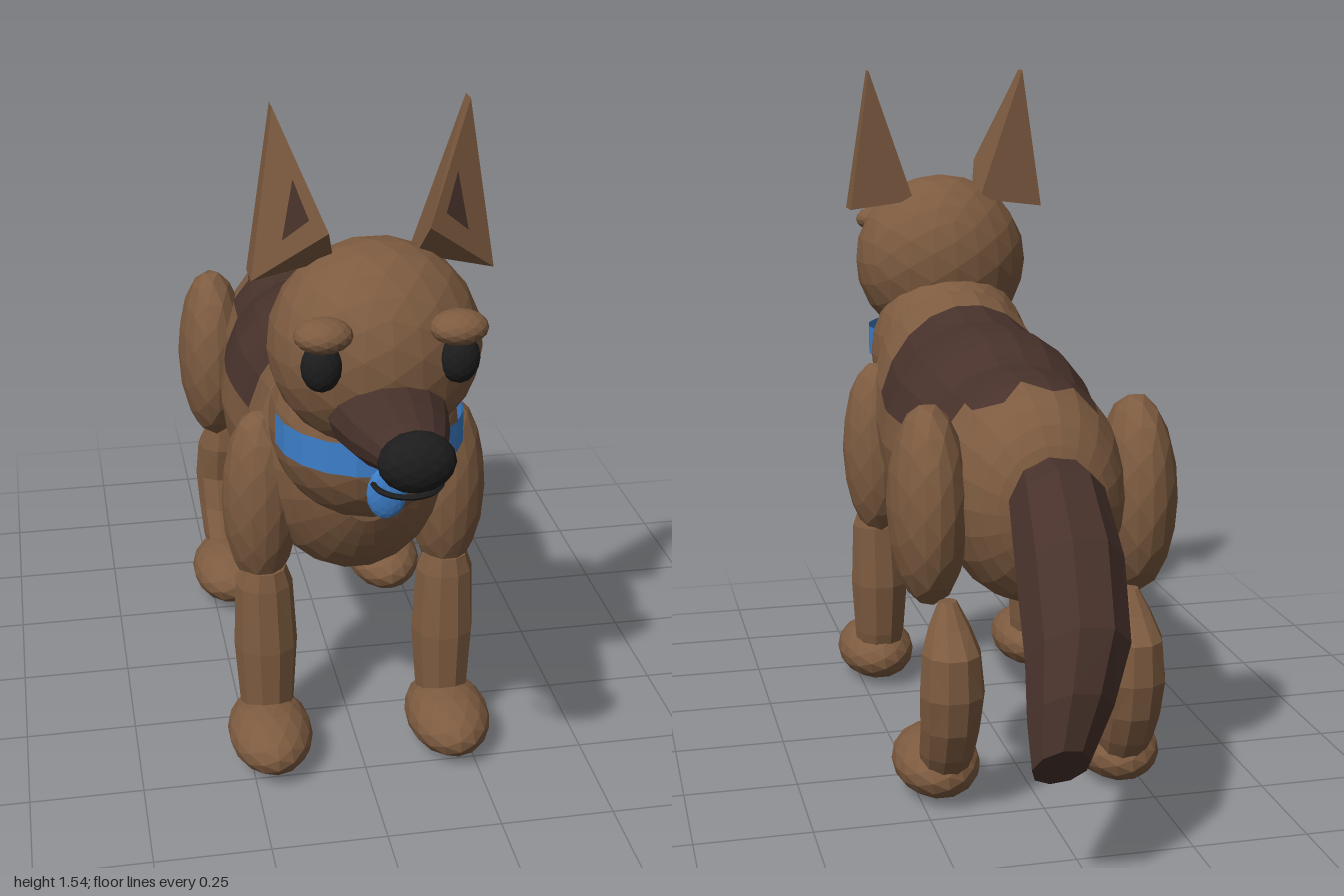
import * as THREE from 'three';
import { ConvexGeometry } from 'three/addons/geometries/ConvexGeometry.js';

function makeMaterial(name, color) {
  const m = new THREE.MeshStandardMaterial({ color, flatShading: true });
  m.name = name;
  return m;
}

// Closed loft through rings [x, y, z, radiusX, radiusN]; N = (0, cos a, sin a).
// isSecond(centroid) puts a triangle in the second material group.
function loft(rings, segs, a, isSecond = () => false) {
  const N = new THREE.Vector3(0, Math.cos(a), Math.sin(a));
  const pt = (i, j) => {
    const [x, y, z, rx, rn] = rings[i];
    const t = (j / segs) * Math.PI * 2;
    return new THREE.Vector3(x + rx * Math.cos(t), y, z).addScaledVector(N, rn * Math.sin(t));
  };
  const groups = [[], []];
  const tri = (p, q, r) => {
    const c = p.clone().add(q).add(r).divideScalar(3);
    const list = groups[isSecond(c) ? 1 : 0];
    for (const v of [p, q, r]) list.push(v.x, v.y, v.z);
  };
  const last = rings.length - 1;
  const first = new THREE.Vector3(...rings[0].slice(0, 3));
  const end = new THREE.Vector3(...rings[last].slice(0, 3));
  for (let j = 0; j < segs; j++) {
    for (let i = 0; i < last; i++) {
      const p = pt(i, j), q = pt(i, j + 1), r = pt(i + 1, j + 1), s = pt(i + 1, j);
      if ((i + j) % 2) { tri(p, q, r); tri(p, r, s); } else { tri(p, q, s); tri(q, r, s); }
    }
    tri(first, pt(0, j + 1), pt(0, j));
    tri(end, pt(last, j), pt(last, j + 1));
  }
  const g = new THREE.BufferGeometry();
  g.setAttribute('position', new THREE.Float32BufferAttribute(groups[0].concat(groups[1]), 3));
  g.addGroup(0, groups[0].length / 3, 0);
  if (groups[1].length) g.addGroup(groups[0].length / 3, groups[1].length / 3, 1);
  g.computeVertexNormals();
  return g;
}

export function createModel() {
  const dog = new THREE.Group();
  dog.name = 'dog';
  const tan = makeMaterial('tan fur', 0x7d5b40);
  const dark = makeMaterial('dark fur', 0x48322b);
  const black = makeMaterial('black', 0x1d1d1e);
  const blue = makeMaterial('blue collar', 0x3d7fca);
  blue.side = dark.side = THREE.DoubleSide;

  const add = (name, geo, mat) => {
    const m = new THREE.Mesh(geo, mat);
    m.name = name;
    dog.add(m);
    return m;
  };
  const blob = (name, mat, pos, rad, detail = 2, tilt = 0) => {
    const m = add(name, new THREE.IcosahedronGeometry(1, detail), mat);
    m.position.set(...pos);
    m.scale.set(...rad);
    m.rotation.x = tilt;
    return m;
  };

  // Torso profile, rump to chest: [z, top, bottom, half width]
  const profile = [
    [-0.595, 0.72, 0.63, 0.04], [-0.56, 0.82, 0.54, 0.12], [-0.5, 0.89, 0.47, 0.17],
    [-0.4, 0.925, 0.44, 0.205], [-0.3, 0.93, 0.46, 0.215], [-0.22, 0.925, 0.49, 0.218],
    [-0.12, 0.96, 0.45, 0.237], [0, 0.975, 0.435, 0.25], [0.1, 0.97, 0.43, 0.24],
    [0.22, 0.99, 0.42, 0.225], [0.35, 1.02, 0.44, 0.22], [0.42, 0.98, 0.48, 0.185],
    [0.48, 0.9, 0.56, 0.13], [0.52, 0.78, 0.64, 0.06],
  ];
  const curveA = new THREE.CatmullRomCurve3(profile.map(([z, t, b]) => new THREE.Vector3(t, b, z)));
  const curveB = new THREE.CatmullRomCurve3(profile.map(([z, , , w]) => new THREE.Vector3(w, 0, z)));
  const rings = [];
  for (let i = 0; i <= 26; i++) {
    const p = curveA.getPoint(i / 26), w = curveB.getPoint(i / 26).x;
    rings.push([0, (p.x + p.y) / 2, p.z, w, (p.x - p.y) / 2]);
  }
  // Dark saddle across the back
  const saddle = (c) => {
    const floor = c.z < -0.34 ? 0.87 : c.z < -0.2 ? 0.82 : 0.78;
    return c.z > -0.42 && c.z < 0.2 && c.y > floor;
  };
  add('torso', loft(rings, 22, 0, saddle), [tan, dark]);
  blob('neck', tan, [0, 0.84, 0.43], [0.2, 0.205, 0.225], 3);

  // Tail, tip to root
  add('tail', loft([
    [0.085, 0.285, -0.93, 0.058, 0.07], [0.06, 0.37, -0.9, 0.085, 0.1],
    [0.03, 0.47, -0.845, 0.105, 0.115], [0.01, 0.6, -0.715, 0.11, 0.125],
    [0, 0.71, -0.58, 0.1, 0.11], [0, 0.74, -0.5, 0.08, 0.08],
  ], 9, -0.72), dark);

  // Head
  blob('head', tan, [0, 1.062, 0.545], [0.218, 0.215, 0.2], 3);
  add('muzzle', loft([
    [0, 0.97, 0.6, 0.12, 0.085], [0, 0.965, 0.7, 0.118, 0.085], [0, 0.972, 0.8, 0.098, 0.073],
    [0, 0.982, 0.88, 0.075, 0.055], [0, 0.985, 0.94, 0.055, 0.04],
  ], 14, 0), dark);
  blob('nose', black, [0, 0.99, 0.95], [0.074, 0.06, 0.048]);
  const mouth = add('mouth', new THREE.TorusGeometry(0.065, 0.006, 5, 14, Math.PI), black);
  mouth.rotation.x = Math.PI / 2;
  mouth.position.set(0, 0.91, 0.87);

  // Collar and tag
  const collar = add('collar', new THREE.CylinderGeometry(0.196, 0.196, 0.07, 20, 1, true), blue);
  collar.position.set(0, 0.865, 0.495);
  blob('collarTag', blue, [0, 0.795, 0.69], [0.042, 0.058, 0.018]);

  for (const s of [1, -1]) {
    const side = s > 0 ? 'left' : 'right';

    // Face details
    blob(side + 'Eye', black, [s * 0.135, 1.085, 0.708], [0.041, 0.052, 0.033]);
    blob(side + 'Brow', tan, [s * 0.132, 1.15, 0.71], [0.058, 0.034, 0.05]);

    // Pointed ear with a dark inner patch
    const v = (x, y, z) => new THREE.Vector3(s * x, y, z);
    const tip = v(0.195, 1.54, 0.5), outer = v(0.245, 1.2, 0.53), inner = v(0.1, 1.31, 0.59);
    add(side + 'Ear', new ConvexGeometry([
      tip, outer, inner, v(0.195, 1.54, 0.46), v(0.245, 1.2, 0.46),
      v(0.085, 1.22, 0.46), v(0.083, 1.24, 0.54),
    ]), tan);
    const patch = [[0.48, 0.12, 0.4], [0.14, 0.5, 0.36], [0.16, 0.14, 0.7]].map(([a, b, c]) =>
      new THREE.Vector3().addScaledVector(tip, a).addScaledVector(outer, b).addScaledVector(inner, c)
        .add(v(0, 0.001, 0.004)));
    if (s < 0) patch.reverse();
    const patchGeo = new THREE.BufferGeometry().setFromPoints([patch[0], patch[2], patch[1]]);
    patchGeo.computeVertexNormals();
    add(side + 'InnerEar', patchGeo, dark);

    // Front leg
    blob(side + 'Shoulder', tan, [s * 0.208, 0.62, 0.335], [0.085, 0.218, 0.095], 2, 0.04);
    add(side + 'FrontShin', loft([
      [s * 0.205, 0.46, 0.35, 0.05, 0.05], [s * 0.205, 0.42, 0.35, 0.064, 0.06],
      [s * 0.203, 0.27, 0.352, 0.071, 0.074], [s * 0.203, 0.14, 0.36, 0.062, 0.065],
      [s * 0.203, 0.07, 0.37, 0.055, 0.055],
    ], 10, Math.PI / 2), tan);
    blob(side + 'FrontPaw', tan, [s * 0.205, 0.072, 0.417], [0.095, 0.071, 0.145]);

    // Hind leg
    blob(side + 'Thigh', tan, [s * 0.228, 0.665, -0.39], [0.087, 0.22, 0.135]);
    add(side + 'HindShin', loft([
      [s * 0.2, 0.47, -0.45, 0.02, 0.02], [s * 0.2, 0.42, -0.465, 0.045, 0.045],
      [s * 0.2, 0.37, -0.485, 0.063, 0.073], [s * 0.2, 0.28, -0.495, 0.07, 0.067],
      [s * 0.2, 0.2, -0.475, 0.065, 0.07], [s * 0.2, 0.13, -0.435, 0.06, 0.075],
      [s * 0.2, 0.08, -0.41, 0.05, 0.06],
    ], 10, Math.PI / 2), tan);
    blob(side + 'HindPaw', tan, [s * 0.205, 0.072, -0.34], [0.095, 0.071, 0.145]);
  }
  return dog;
}
